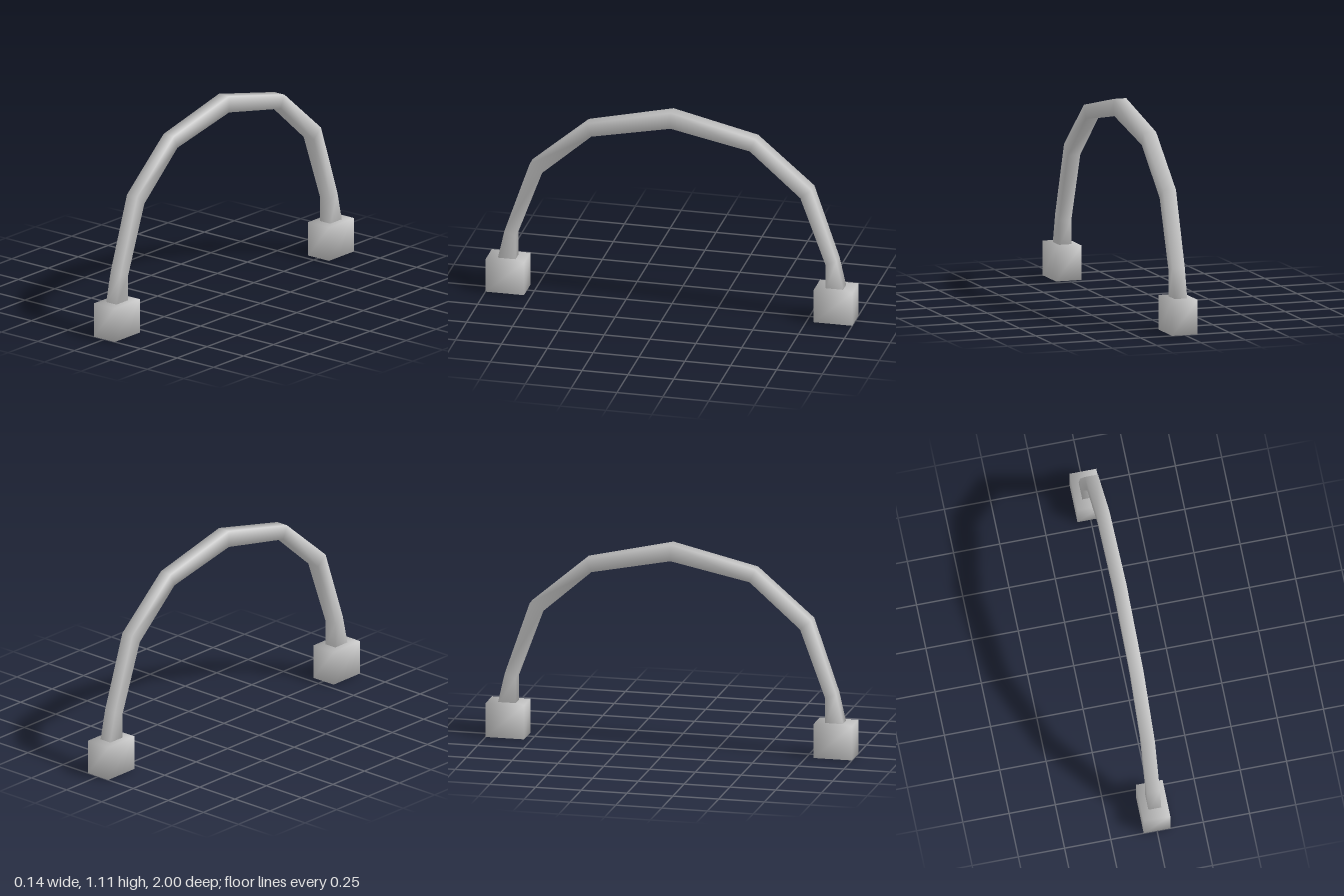
import * as THREE from 'three';
import { mergeVertices } from 'three/addons/utils/BufferGeometryUtils.js';

const material = new THREE.MeshStandardMaterial({ color: 0xcccccc });

// Box with corners shared, so its shading is soft across the edges
function softBox(w, h, d) {
  const box = new THREE.BoxGeometry(w, h, d);
  box.deleteAttribute('normal');
  box.deleteAttribute('uv');
  const geometry = mergeVertices(box);
  geometry.computeVertexNormals();
  return geometry;
}

// Square bar swept through mitred joints, each given as [outer z, outer y, inner z, inner y]
function archGeometry(joints, halfWidth) {
  const positions = [];
  const indices = [];
  joints.forEach(([oz, oy, iz, iy], i) => {
    positions.push(halfWidth, oy, oz, -halfWidth, oy, oz, -halfWidth, iy, iz, halfWidth, iy, iz);
    if (i === joints.length - 1) return;
    for (let k = 0; k < 4; k++) {
      const a = i * 4 + k;
      const b = i * 4 + (k + 1) % 4;
      indices.push(a, a + 4, b, a + 4, b + 4, b);
    }
  });
  // End caps
  const e = (joints.length - 1) * 4;
  indices.push(0, 1, 2, 0, 2, 3, e, e + 2, e + 1, e, e + 3, e + 2);
  const geometry = new THREE.BufferGeometry();
  geometry.setAttribute('position', new THREE.Float32BufferAttribute(positions, 3));
  geometry.setIndex(indices);
  geometry.computeVertexNormals();
  return geometry;
}

export function createModel() {
  const model = new THREE.Group();
  model.name = 'archedHandle';

  // Arch: front half from the foot to the crown, then mirrored to the back
  const half = [
    [0.945, 0.17, 0.845, 0.17],
    [0.905, 0.345, 0.845, 0.32],
    [0.768, 0.742, 0.708, 0.69],
    [0.462, 1.003, 0.432, 0.932],
  ];
  const back = half.map(([oz, oy, iz, iy]) => [-oz, oy, -iz, iy]).reverse();
  const arch = new THREE.Mesh(archGeometry([...half, [0, 1.11, 0, 1.02], ...back], 0.035), material);
  arch.name = 'arch';
  model.add(arch);

  // Foot blocks
  for (const side of [1, -1]) {
    const foot = new THREE.Mesh(softBox(0.144, 0.186, 0.21), material);
    foot.name = side > 0 ? 'frontFoot' : 'backFoot';
    foot.position.set(0, 0.093, side * 0.895);
    model.add(foot);
  }
  return model;
}
